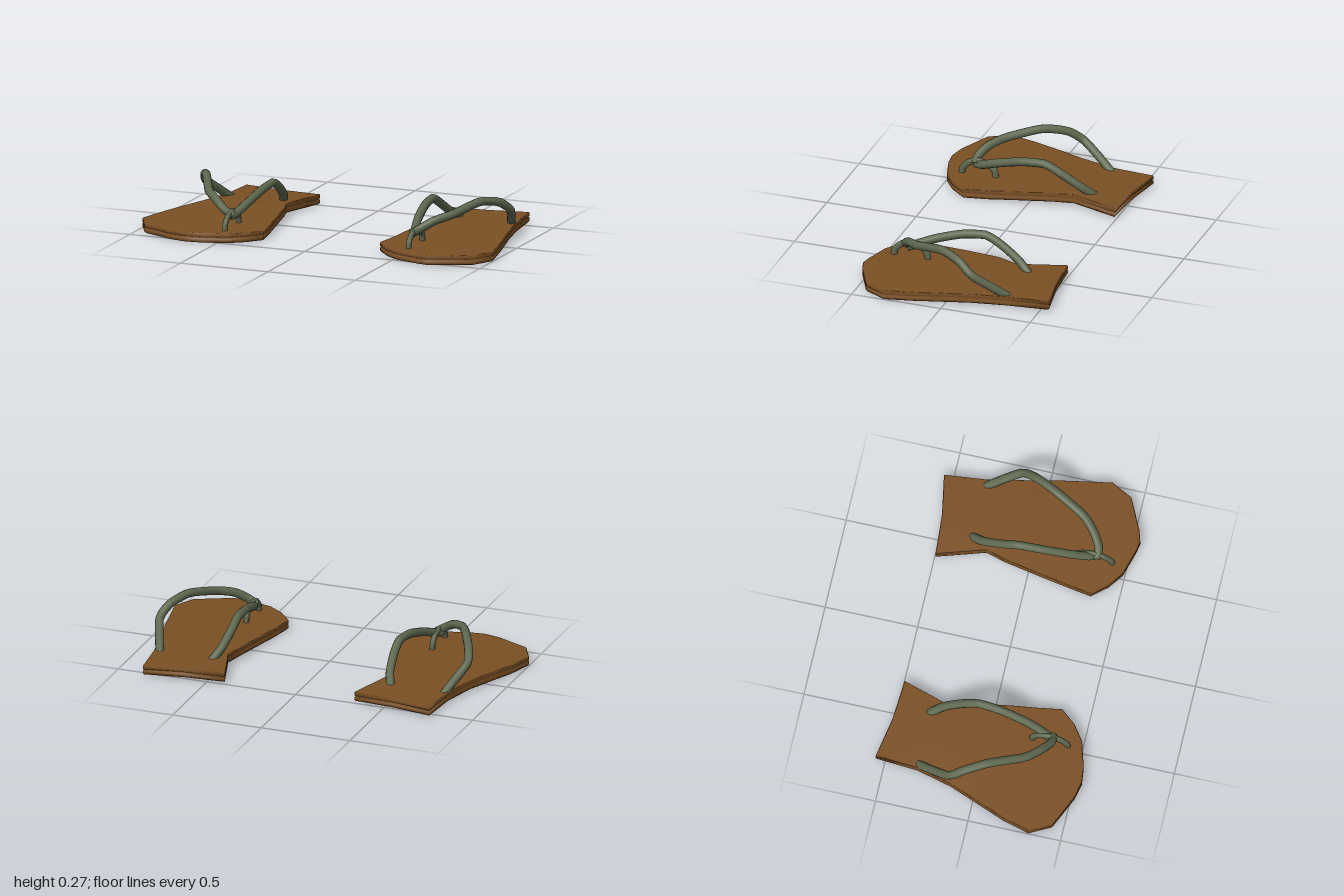
import * as THREE from 'three';

const brown = new THREE.MeshStandardMaterial({ color: 0x7b5024 });
brown.name = 'brown sole';
const green = new THREE.MeshStandardMaterial({ color: 0x5d674e });
green.name = 'green strap';

// Outline stations from heel to toe, as [distance from the middle, z]
const INNER = [[0.33, -0.495], [0.41, -0.24], [0.377, -0.13], [0.34, 0.08], [0.318, 0.22],
  [0.297, 0.35], [0.365, 0.43], [0.447, 0.49], [0.585, 0.53]];
const OUTER_Z = [-0.55, -0.32, -0.13, 0.05, 0.18, 0.325, 0.44, 0.522, 0.54];
const OUTER_RIGHT = [0.773, 0.79, 0.84, 0.91, 0.96, 1.0, 0.94, 0.757, 0.67];
const OUTER_LEFT = [0.772, 0.797, 0.836, 0.877, 0.903, 0.93, 0.87, 0.7, 0.64];

// Sole levels from the ground up: [height, outline scale]; the waist is the groove
const LEVELS = [[0.004, 0.985], [0.012, 1], [0.026, 1], [0.031, 0.982], [0.036, 1], [0.052, 1], [0.057, 0.99]];

// The sole rises under the arch, more on the inner side, and slightly towards the heel
function lift(z, inward) {
  const arch = Math.exp(-(((z + 0.06) / 0.16) ** 2));
  const heel = THREE.MathUtils.smoothstep(-z, -0.4, 0.5) * 0.009;
  return heel + arch * (0.006 + 0.009 * inward);
}

function soleGeometry(outerX, place, flip) {
  const n = INNER.length;
  const outer = outerX.map((x, i) => [x, OUTER_Z[i], 0]);
  const inner = INNER.map(([x, z]) => [x, z, 1]);
  const mids = outer.map((o, i) => [(o[0] + inner[i][0]) / 2, (o[1] + inner[i][1]) / 2, 0.5]);
  mids[0][1] += 0.012;
  const ring = [...outer, mids[n - 1], ...[...inner].reverse(), mids[0]];
  const count = ring.length;
  const positions = [];
  const index = [];
  const add = ([x, z, inward], [y, scale]) => {
    const p = place(0.62 + (x - 0.62) * scale, y + lift(z, inward), z * scale);
    positions.push(p.x, p.y, p.z);
    return positions.length / 3 - 1;
  };
  const quad = (a, b, c, d, reverse = false) => {
    if (reverse !== flip) index.push(a, c, b, a, d, c);
    else index.push(a, b, c, a, c, d);
  };
  // Side walls
  const rings = LEVELS.map((level) => ring.map((p) => add(p, level)));
  for (let k = 0; k < rings.length - 1; k++) {
    for (let i = 0; i < count; i++) {
      const j = (i + 1) % count;
      quad(rings[k][i], rings[k][j], rings[k + 1][j], rings[k + 1][i]);
    }
  }
  // Foot bed and underside
  for (const k of [0, LEVELS.length - 1]) {
    const r = rings[k];
    const middle = mids.map((m, i) => (i === 0 ? r[count - 1] : i === n - 1 ? r[n] : add(m, LEVELS[k])));
    for (let i = 0; i < n - 1; i++) {
      quad(r[i], r[i + 1], middle[i + 1], middle[i], k === 0);
      quad(middle[i], middle[i + 1], r[2 * n - 1 - i], r[2 * n - i], k === 0);
    }
  }
  const geometry = new THREE.BufferGeometry();
  geometry.setAttribute('position', new THREE.Float32BufferAttribute(positions, 3));
  geometry.setIndex(index);
  geometry.computeVertexNormals();
  return geometry;
}

// Strap centre lines
const OUTER_STRAP = [[0.762, 0.045, -0.325], [0.795, 0.1, -0.25], [0.835, 0.175, -0.14], [0.805, 0.23, -0.06],
  [0.745, 0.252, 0.06], [0.66, 0.213, 0.23], [0.585, 0.187, 0.305], [0.52, 0.145, 0.345], [0.475, 0.118, 0.34]];
const INNER_STRAP = [[0.475, 0.045, -0.335], [0.44, 0.105, -0.26], [0.424, 0.17, -0.16], [0.421, 0.213, -0.07],
  [0.43, 0.202, 0.06], [0.45, 0.163, 0.2], [0.475, 0.125, 0.3], [0.5, 0.112, 0.345]];
const TOE_LOOP = [[0.49, 0.04, 0.423], [0.49, 0.085, 0.415], [0.49, 0.12, 0.38], [0.49, 0.136, 0.325],
  [0.49, 0.122, 0.27], [0.49, 0.09, 0.237], [0.49, 0.04, 0.23]];

function strap(name, path, radius, place) {
  const curve = new THREE.CatmullRomCurve3(path.map((p) => place(...p)), false, 'catmullrom', 0.3);
  const mesh = new THREE.Mesh(new THREE.TubeGeometry(curve, 28, radius, 10), green);
  mesh.name = name;
  return mesh;
}

function sandal(name, side, shift, outerX) {
  const group = new THREE.Group();
  group.name = name;
  const place = (x, y, z) => new THREE.Vector3(side * x + shift, y, z);
  const sole = new THREE.Mesh(soleGeometry(outerX, place, side > 0), brown);
  sole.name = 'sole';
  const loop = strap('toeLoop', TOE_LOOP, 0.018, place);
  // Flatten the toe loop sideways
  const centre = place(0.49, 0, 0).x;
  loop.geometry.translate(-centre, 0, 0).scale(0.8, 1, 1).translate(centre, 0, 0);
  group.add(sole, loop,
    strap('outerStrap', OUTER_STRAP, 0.023, place),
    strap('innerStrap', INNER_STRAP, 0.023, place));
  return group;
}

export function createModel() {
  const model = new THREE.Group();
  model.name = 'sandals';
  model.add(sandal('rightSandal', -1, 0, OUTER_RIGHT), sandal('leftSandal', 1, 0.07, OUTER_LEFT));
  return model;
}
